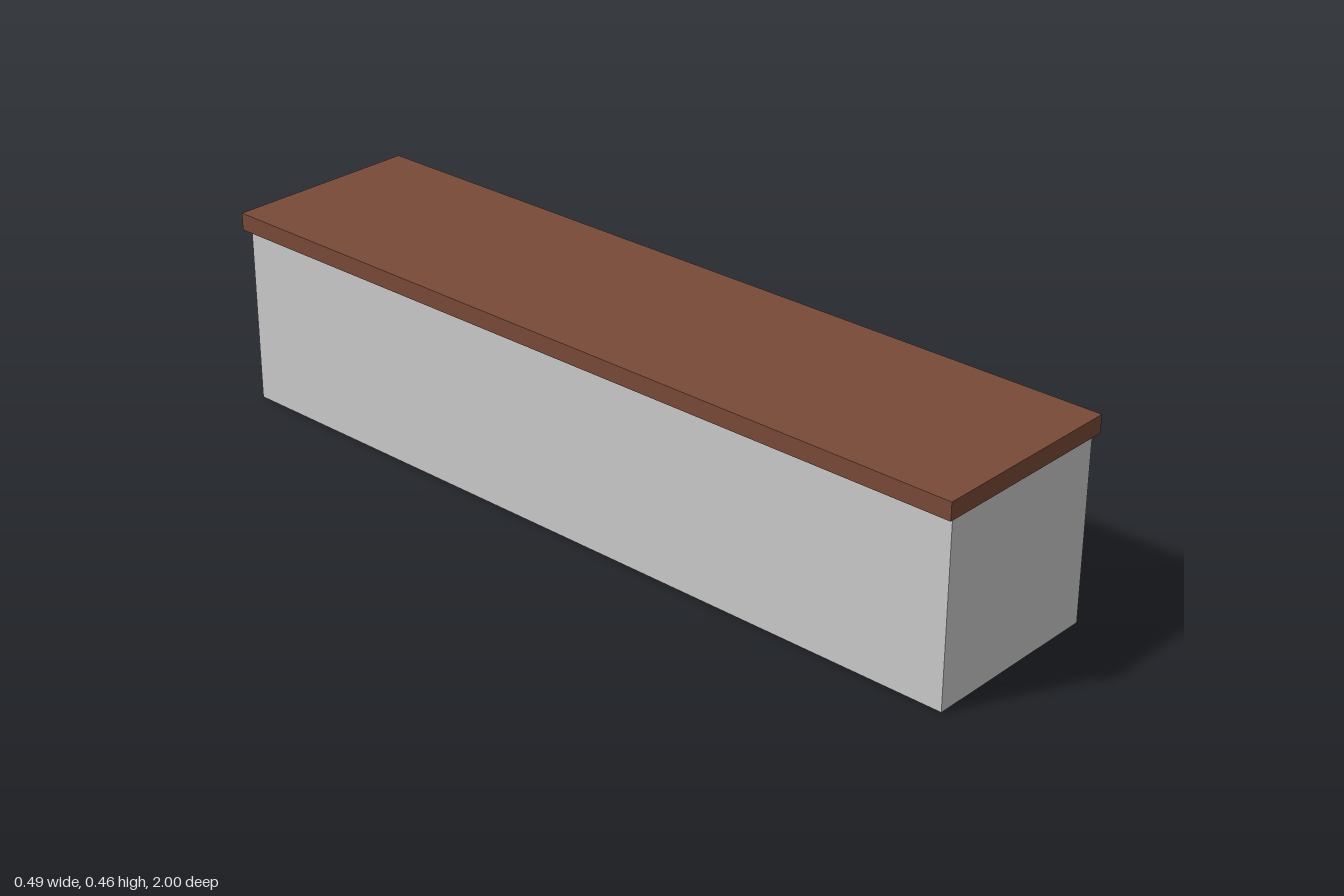
import * as THREE from 'three';

const material = (color) => new THREE.MeshStandardMaterial({ color });
const grey = material(0xcccccc);
const blue = material(0x3d94cc);
const wood = material(0x7a4a38);
const metal = material(0x77736f);

// Box given by its min and max on each axis
function box(name, mat, [x0, x1], [y0, y1], [z0, z1]) {
  const mesh = new THREE.Mesh(new THREE.BoxGeometry(x1 - x0, y1 - y0, z1 - z0), mat);
  mesh.position.set((x0 + x1) / 2, (y0 + y1) / 2, (z0 + z1) / 2);
  mesh.name = name;
  return mesh;
}

// Door with lock plate, turning knob and 3 x 3 keypad, centred on z = 0
function createLocker() {
  const locker = new THREE.Group();
  locker.name = 'locker';
  locker.add(box('door', blue, [0.212, 0.222], [0.035, 0.408], [-0.145, 0.145]));
  locker.add(box('lockPlate', grey, [0.22, 0.225], [0.18, 0.29], [-0.065, 0.122]));

  // Knob: round base with an upright grip
  const base = new THREE.Mesh(new THREE.CylinderGeometry(0.017, 0.017, 0.013, 20), metal);
  base.rotation.z = -Math.PI / 2;
  base.position.set(0.2285, 0.245, 0.103);
  base.name = 'knobBase';
  locker.add(base);
  locker.add(box('knobGrip', metal, [0.226, 0.241], [0.228, 0.262], [0.098, 0.108]));

  // Domed keypad buttons
  const dome = new THREE.SphereGeometry(0.01, 16, 12);
  for (let row = 0; row < 3; row++) {
    for (let col = 0; col < 3; col++) {
      const button = new THREE.Mesh(dome, metal);
      button.position.set(0.2245, 0.202 + row * 0.031, 0.029 - col * 0.032);
      button.name = 'keypadButton';
      locker.add(button);
    }
  }
  return locker;
}

export function createModel() {
  const model = new THREE.Group();
  model.name = 'lockerBench';
  model.add(box('cabinet', grey, [-0.232, 0.216], [0, 0.422], [-0.983, 0.995]));
  model.add(box('benchTop', wood, [-0.244, 0.237], [0.422, 0.463], [-1, 1]));

  // Five lockers along the +x side
  for (let i = 0; i < 5; i++) {
    const locker = createLocker();
    locker.position.z = 0.815 - i * 0.407;
    model.add(locker);
  }
  return model;
}
